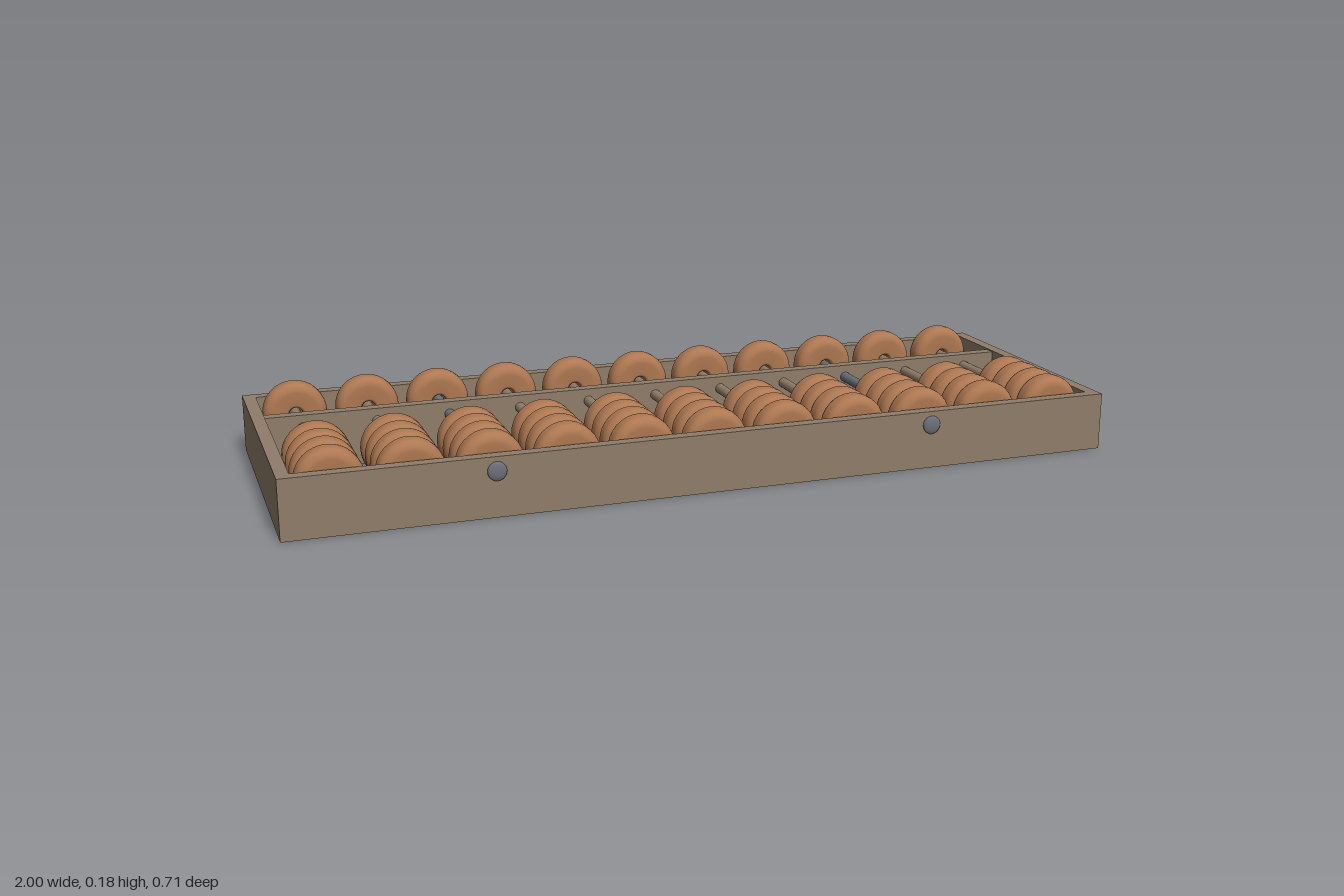
import * as THREE from 'three';

const mat = (name, color) => new THREE.MeshStandardMaterial({ name, color });

export function createModel() {
  const wood = mat('frame wood', 0x8f7d6a);
  const beadWood = mat('bead wood', 0xae7852);
  const metal = mat('metal', 0x6c7178);
  const model = new THREE.Group();
  model.name = 'abacus';

  const add = (name, geometry, material, x, y, z) => {
    const mesh = new THREE.Mesh(geometry, material);
    mesh.name = name;
    mesh.position.set(x, y, z);
    model.add(mesh);
    return mesh;
  };

  // Frame: mitred rails and end boards, one extruded ring
  const W = 1, D = 0.348, H = 0.14, T = 0.03;
  const rect = (P, w, d) => {
    const p = new P();
    p.moveTo(-w, -d); p.lineTo(w, -d); p.lineTo(w, d); p.lineTo(-w, d); p.closePath();
    return p;
  };
  const ring = rect(THREE.Shape, W, D);
  ring.holes.push(rect(THREE.Path, W - T, D - T));
  const frame = new THREE.ExtrudeGeometry(ring, { depth: H, bevelEnabled: false });
  frame.rotateX(-Math.PI / 2);
  add('frame', frame, wood, 0, 0, 0);

  // Dividing beam between upper and lower beads
  const beamZ = -0.147;
  add('dividerBeam', new THREE.BoxGeometry(2 * (W - T), 0.136, 0.03), wood, 0, 0.069, beamZ);

  // Bottom slats, waisted behind the beam; profile is [z, half width]
  const profile = [[0.32, 0.05], [-0.155, 0.05], [-0.17, 0.042], [-0.185, 0.034], [-0.2, 0.034],
    [-0.215, 0.042], [-0.23, 0.049], [-0.25, 0.049], [-0.275, 0.036], [-0.295, 0.036], [-0.32, 0.05]];
  const slatShape = new THREE.Shape([
    ...profile.map(([z, w]) => new THREE.Vector2(w, -z)),
    ...profile.slice().reverse().map(([z, w]) => new THREE.Vector2(-w, -z)),
  ]);
  const slat = new THREE.ExtrudeGeometry(slatShape, { depth: 0.018, bevelEnabled: false });
  slat.rotateX(-Math.PI / 2);
  for (const x of [-0.45, 0.425]) add('bottomSlat', slat, wood, x, 0.001, 0);

  // Bead: rounded disc with a bore, turned about the rod axis
  const R = 0.077, h = 0.031, c = 0.023, bore = 0.017;
  const beadProfile = [new THREE.Vector2(bore, -h + 0.004), new THREE.Vector2(bore + 0.006, -h)];
  for (const [cy, start] of [[-h + c, -Math.PI / 2], [h - c, 0]]) {
    for (let i = 0; i <= 6; i++) {
      const a = start + (i / 6) * (Math.PI / 2);
      beadProfile.push(new THREE.Vector2(R - c + c * Math.cos(a), cy + c * Math.sin(a)));
    }
  }
  beadProfile.push(new THREE.Vector2(bore + 0.006, h), new THREE.Vector2(bore, h - 0.004),
    new THREE.Vector2(bore, -h + 0.004));
  const bead = new THREE.LatheGeometry(beadProfile, 32);
  bead.rotateX(Math.PI / 2);

  const rod = new THREE.CylinderGeometry(0.013, 0.013, 2 * (D - T) + 0.01, 14);
  rod.rotateX(Math.PI / 2);

  // Domed rivet head, pointing to +z
  const cap = new THREE.LatheGeometry([[0.022, -0.004], [0.022, 0.003], [0.019, 0.006], [0.011, 0.008], [0, 0.0085]]
    .map(([r, y]) => new THREE.Vector2(r, y)), 20);
  cap.rotateX(Math.PI / 2);

  // Columns of rods and beads; two rods are metal and riveted through the frame
  const axisY = 0.106;
  for (let i = -5; i <= 5; i++) {
    const x = i * 0.1765;
    const isMetal = Math.abs(i) === 3;
    add(isMetal ? 'metalRod' : 'rod', rod, isMetal ? metal : wood, x, axisY, 0);
    for (const z of [0.282, 0.2185, 0.155, 0.0915]) add('lowerBead', bead, beadWood, x, axisY, z);
    add('upperBead', bead, beadWood, x, axisY, -0.281);
    if (isMetal) {
      add('rivetFront', cap, metal, x, axisY + 0.001, D);
      add('rivetBack', cap, metal, x, axisY + 0.001, -D).rotation.y = Math.PI;
    }
  }
  return model;
}
